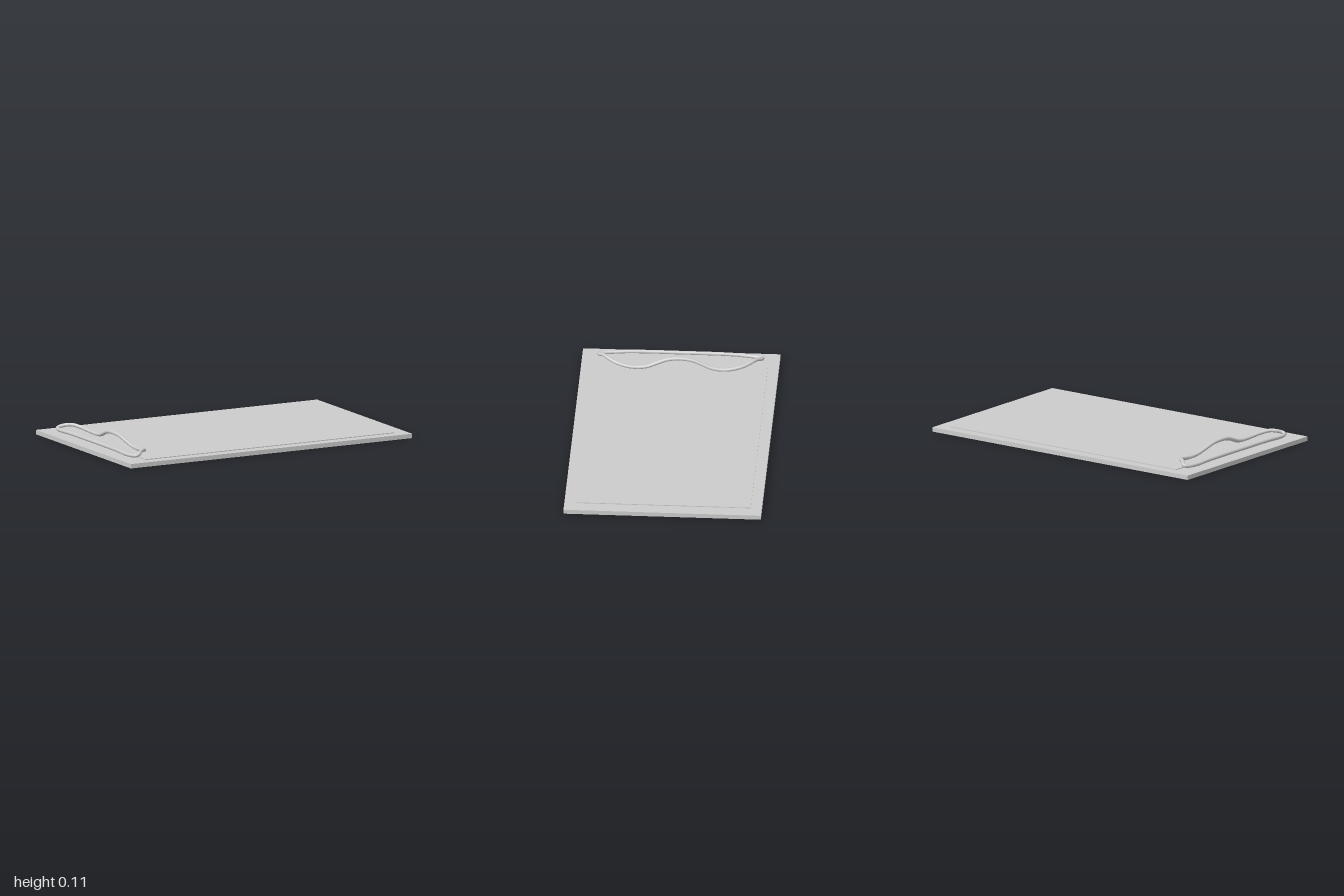
import * as THREE from 'three';

const material = new THREE.MeshStandardMaterial({ color: 0xcccccc });

function slab(name, x0, x1, y0, y1, halfDepth) {
  const mesh = new THREE.Mesh(new THREE.BoxGeometry(x1 - x0, y1 - y0, halfDepth * 2), material);
  mesh.position.set((x0 + x1) / 2, (y0 + y1) / 2, 0);
  mesh.name = name;
  return mesh;
}

export function createModel() {
  const group = new THREE.Group();
  group.name = 'clipboard';

  // Backing board and the thin stack of paper lying on it
  group.add(slab('board', -1, 1, 0, 0.028, 0.617));
  group.add(slab('paper', -0.858, 0.912, 0.028, 0.033, 0.548));

  // Wire clip: half of the loop, from the raised middle lip round to the back rod
  const half = [
    [-0.787, 0.099, 0], [-0.783, 0.091, 0.08], [-0.774, 0.067, 0.15], [-0.766, 0.05, 0.2],
    [-0.763, 0.042, 0.26], [-0.768, 0.046, 0.33], [-0.79, 0.06, 0.405], [-0.825, 0.072, 0.455],
    [-0.858, 0.07, 0.482], [-0.883, 0.06, 0.508], [-0.9, 0.054, 0.51], [-0.916, 0.051, 0.485],
    [-0.927, 0.051, 0.42], [-0.931, 0.056, 0.33], [-0.932, 0.058, 0.2], [-0.932, 0.058, 0],
  ].map((p) => new THREE.Vector3(...p));

  // Mirror the inner points to close the loop
  const mirrored = half.slice(1, -1).reverse().map((p) => new THREE.Vector3(p.x, p.y, -p.z));
  const path = new THREE.CatmullRomCurve3([...half, ...mirrored], true);
  const clip = new THREE.Mesh(new THREE.TubeGeometry(path, 240, 0.0115, 16, true), material);
  clip.name = 'wireClip';
  group.add(clip);

  return group;
}
